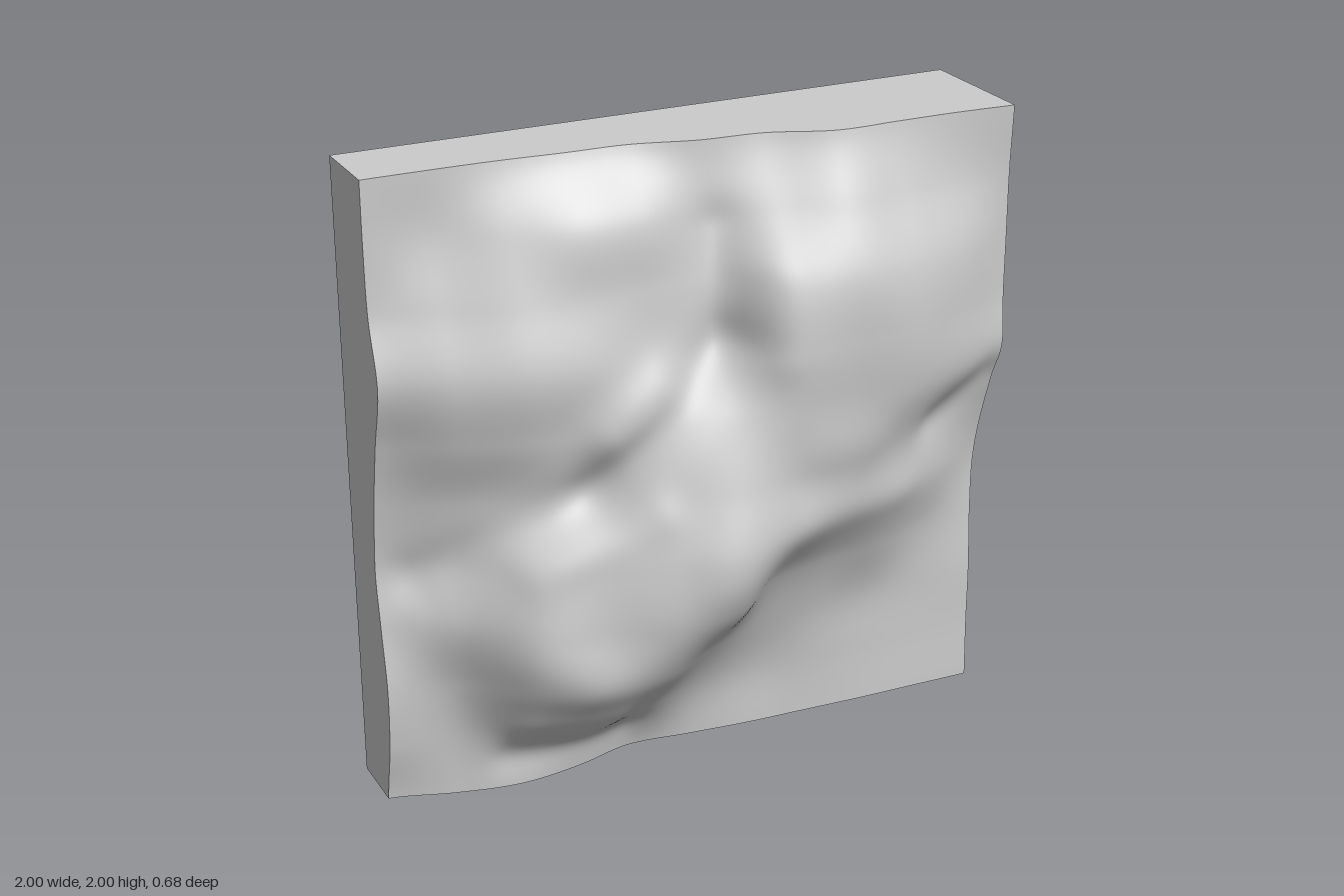
import * as THREE from 'three';

const BACK = -0.34, N = 110;

// Relief cross-sections: rows run from y = 2 down to 0, columns from x = -1 to 1, 0.2 apart
const rows = [
  [-0.09, -0.09, -0.085, -0.07, -0.06, -0.01, 0.01, 0.08, 0.08, 0.08, 0.09],
  [-0.09, -0.08, -0.01, 0.05, 0.05, 0.03, 0.10, 0.17, 0.14, 0.10, 0.08],
  [-0.08, -0.02, 0.06, 0.08, 0.07, 0.08, 0.22, 0.26, 0.23, 0.16, 0.08],
  [-0.03, 0.05, 0.12, 0.13, 0.10, 0.12, 0.26, 0.27, 0.25, 0.17, 0.08],
  [-0.08, 0.02, 0.09, 0.12, 0.17, 0.21, 0.26, 0.25, 0.23, 0.16, 0.085],
  [-0.12, -0.04, 0.05, 0.13, 0.22, 0.28, 0.25, 0.22, 0.16, 0.06, 0.0],
  [-0.14, -0.04, 0.12, 0.20, 0.28, 0.33, 0.25, 0.18, 0.13, 0.04, -0.05],
  [-0.12, 0.00, 0.17, 0.23, 0.29, 0.27, 0.11, 0.06, 0.04, -0.02, -0.055],
  [-0.09, -0.04, 0.15, 0.22, 0.20, 0.09, 0.01, -0.015, -0.035, -0.045, -0.045],
  [-0.10, -0.07, 0.02, 0.06, 0.02, -0.04, -0.06, -0.05, -0.05, -0.05, -0.045],
  [-0.14, -0.08, -0.04, -0.06, -0.11, -0.09, -0.07, -0.06, -0.05, -0.045, -0.04],
];

// Soft ridges (+) and grooves (-): ax, ay, bx, by, width, height
const creases = [
  [0.03, 1.42, -0.40, 1.00, 0.08, -0.03],
  [-0.40, 1.00, -0.88, 0.75, 0.09, -0.03],
  [0.03, 1.75, 0.03, 1.42, 0.07, -0.02],
  [0.13, 1.62, 0.13, 1.38, 0.07, 0.015],
  [-0.35, 1.20, -0.20, 1.30, 0.09, 0.03],
  [0.30, 1.07, 0.45, 1.05, 0.10, 0.012],
  [0.76, 1.02, 0.96, 1.13, 0.07, -0.02],
  [0.25, 0.83, 0.64, 0.82, 0.08, 0.012],
  [-0.08, 0.76, -0.08, 0.74, 0.10, 0.012],
  [-0.60, 0.80, -0.25, 0.95, 0.07, 0.015],
  [-0.60, 0.52, -0.45, 0.42, 0.10, 0.012],
  [-0.60, 0.25, -0.35, 0.24, 0.07, 0.02],
  [-0.62, 0.11, -0.25, 0.11, 0.07, -0.025],
];

// Catmull-Rom interpolation through a row of values
function spline(v, t) {
  const i = Math.min(Math.floor(t), v.length - 2), f = t - i;
  const at = (k) => v[Math.max(0, Math.min(v.length - 1, k))];
  const [a, b, c, d] = [at(i - 1), at(i), at(i + 1), at(i + 2)];
  return b + 0.5 * f * (c - a + f * (2 * a - 5 * b + 4 * c - d + f * (3 * (b - c) + d - a)));
}

function height(x, y) {
  let z = spline(rows.map((r) => spline(r, (x + 1) * 5)), (2 - y) * 5);
  for (const [ax, ay, bx, by, w, h] of creases) {
    const dx = bx - ax, dy = by - ay;
    const t = THREE.MathUtils.clamp(((x - ax) * dx + (y - ay) * dy) / (dx * dx + dy * dy), 0, 1);
    const d = Math.hypot(x - ax - t * dx, y - ay - t * dy);
    z += h * Math.exp(-((d / w) ** 2));
  }
  return z;
}

// Wall from the relief's edge back to the flat rim
function wall(x0, y0, x1, y1) {
  const g = new THREE.PlaneGeometry(1, 1, N, 1), p = g.attributes.position;
  for (let i = 0; i < p.count; i++) {
    const t = p.getX(i) + 0.5;
    const x = x0 + (x1 - x0) * t, y = y0 + (y1 - y0) * t;
    p.setXYZ(i, x, y, p.getY(i) > 0 ? height(x, y) : BACK);
  }
  g.computeVertexNormals();
  return g;
}

export function createModel() {
  const group = new THREE.Group();
  group.name = 'reliefTile';
  const material = new THREE.MeshStandardMaterial({ color: 0xcccccc, side: THREE.DoubleSide });
  const add = (name, geometry) => {
    const mesh = new THREE.Mesh(geometry, material);
    mesh.name = name;
    group.add(mesh);
  };

  // Sculpted front sheet
  const sheet = new THREE.PlaneGeometry(2, 2, N, N).translate(0, 1, 0);
  const p = sheet.attributes.position;
  for (let i = 0; i < p.count; i++) p.setZ(i, height(p.getX(i), p.getY(i)));
  sheet.computeVertexNormals();
  add('reliefSurface', sheet);

  // Four side walls, open at the back
  add('bottomWall', wall(-1, 0, 1, 0));
  add('leftWall', wall(1, 0, 1, 2));
  add('topWall', wall(1, 2, -1, 2));
  add('rightWall', wall(-1, 2, -1, 0));
  return group;
}
